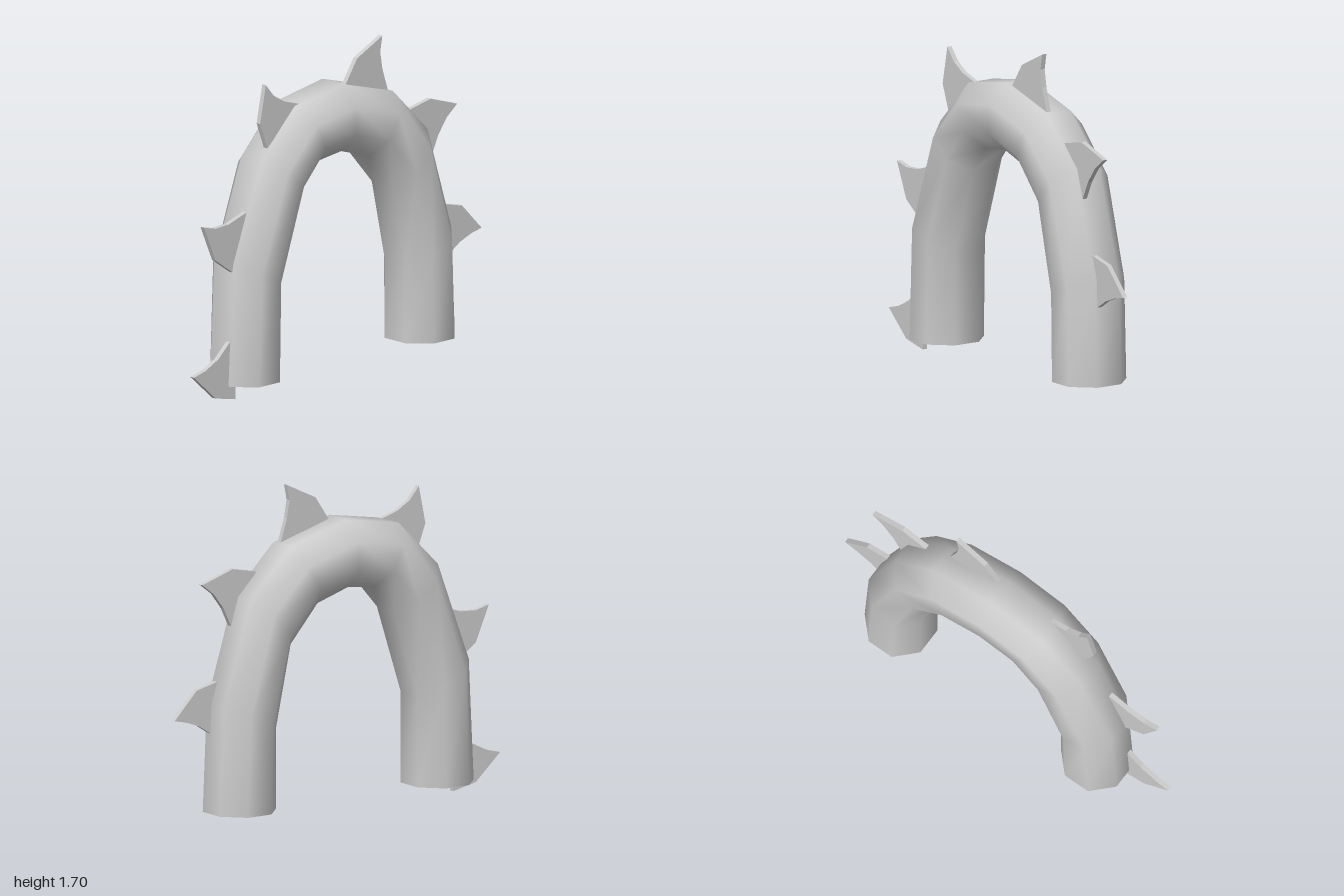
import * as THREE from 'three';

const SIDES = 8;
const HALF_DEPTH = 0.178;

// Cross-sections of the arch: outer x, y and inner x, y
const RINGS = [
  [-0.76, 0.08, -0.415, 0.08],
  [-0.73, 0.70, -0.415, 0.55],
  [-0.54, 1.21, -0.27, 1.00],
  [-0.30, 1.45, -0.15, 1.14],
  [0.02, 1.505, 0.01, 1.16],
  [0.37, 1.405, 0.20, 1.10],
  [0.61, 1.165, 0.365, 0.91],
  [0.775, 0.63, 0.455, 0.49],
  [0.80, 0.08, 0.455, 0.08],
];

// Spike outlines: root, back edge, tip, hollow edge, root
const SPIKES = [
  [[-0.71, 0.005], [-0.85, 0.035], [-1.0, 0.17], [-0.92, 0.19], [-0.83, 0.235], [-0.755, 0.305], [-0.71, 0.33]],
  [[-0.73, 0.665], [-0.85, 0.75], [-0.93, 0.935], [-0.85, 0.915], [-0.76, 0.92], [-0.635, 0.96]],
  [[-0.49, 1.265], [-0.54, 1.40], [-0.50, 1.595], [-0.445, 1.53], [-0.37, 1.485], [-0.27, 1.455]],
  [[0.055, 1.495], [0.135, 1.615], [0.31, 1.70], [0.295, 1.62], [0.31, 1.53], [0.35, 1.405]],
  [[0.50, 1.28], [0.645, 1.31], [0.83, 1.25], [0.76, 1.195], [0.70, 1.115], [0.655, 1.02]],
  [[0.74, 0.745], [0.865, 0.715], [1.0, 0.575], [0.93, 0.56], [0.85, 0.53], [0.78, 0.485]],
];

// Open-ended octagonal tube lofted through the cross-sections
function archGeometry() {
  const positions = [];
  const index = [];
  const scale = 1 / Math.cos(Math.PI / SIDES);
  RINGS.forEach(([ox, oy, ix, iy], r) => {
    for (let s = 0; s < SIDES; s++) {
      const a = ((s + 0.5) / SIDES) * Math.PI * 2;
      const c = Math.cos(a) * scale / 2;
      positions.push(
        (ox + ix) / 2 + (ox - ix) * c,
        (oy + iy) / 2 + (oy - iy) * c,
        Math.sin(a) * scale * HALF_DEPTH
      );
      if (r === 0) continue;
      const b = r * SIDES + s;
      const d = r * SIDES + (s + 1) % SIDES;
      index.push(b - SIDES, b, d, b - SIDES, d, d - SIDES);
    }
  });
  const geometry = new THREE.BufferGeometry();
  geometry.setAttribute('position', new THREE.Float32BufferAttribute(positions, 3));
  geometry.setIndex(index);
  geometry.computeVertexNormals();
  return geometry;
}

// Thin flat plate cut to the spike outline
function spikeGeometry(outline) {
  const shape = new THREE.Shape(outline.map(([x, y]) => new THREE.Vector2(x, y)));
  const geometry = new THREE.ExtrudeGeometry(shape, { depth: 0.026, bevelEnabled: false });
  return geometry.translate(0, 0, 0.034);
}

export function createModel() {
  const model = new THREE.Group();
  model.name = 'spikedArch';
  const material = new THREE.MeshStandardMaterial({ color: 0xcccccc, side: THREE.DoubleSide });

  const arch = new THREE.Mesh(archGeometry(), material);
  arch.name = 'archTube';
  model.add(arch);

  const spikes = new THREE.Group();
  spikes.name = 'spikes';
  SPIKES.forEach((outline, i) => {
    const spike = new THREE.Mesh(spikeGeometry(outline), material);
    spike.name = `spike${i + 1}`;
    spikes.add(spike);
  });
  model.add(spikes);
  return model;
}
